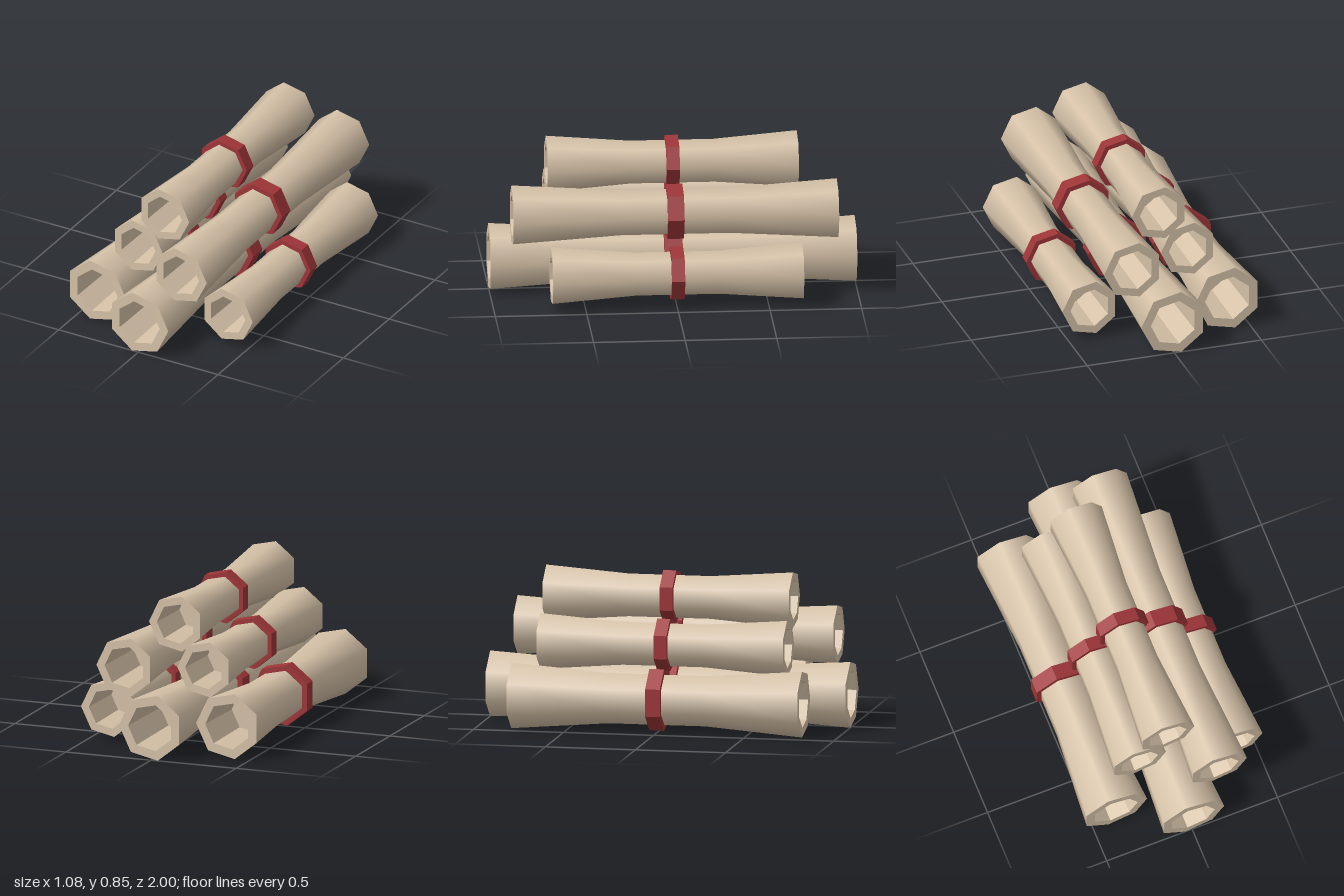
import * as THREE from 'three';

const SIDES = 7;

// Seven-sided tube along z with a corner pointing to +x
function tube(rFront, rBack, length, segments = 1, open = true) {
  return new THREE.CylinderGeometry(rFront, rBack, length, SIDES, segments, open, Math.PI / 2)
    .rotateX(Math.PI / 2);
}

function flat(geometry) {
  const g = geometry.toNonIndexed();
  g.computeVertexNormals();
  return g;
}

export function createModel() {
  const paper = new THREE.MeshStandardMaterial({ color: 0xd6c2a8, side: THREE.DoubleSide });
  paper.name = 'parchment';
  const ribbon = new THREE.MeshStandardMaterial({ color: 0x9e3538 });
  ribbon.name = 'red ribbon';

  const model = new THREE.Group();
  model.name = 'scrollPile';

  function add(parent, name, geometry, material) {
    const mesh = new THREE.Mesh(geometry, material);
    mesh.name = name;
    parent.add(mesh);
    return mesh;
  }

  function makeScroll(name, x, y, radius, half, bandHalf) {
    const scroll = new THREE.Group();
    scroll.name = name;
    scroll.position.set(x, y, 0);

    // Rolled sheet, straight in the middle third and flaring to the ends
    const sheet = tube(radius, radius, half * 2, 3);
    const p = sheet.attributes.position;
    for (let i = 0; i < p.count; i++) {
      if (Math.abs(p.getZ(i)) < half * 0.5) {
        p.setXY(i, p.getX(i) * 0.765, p.getY(i) * 0.765);
      }
    }
    add(scroll, 'rolledSheet', sheet, paper);

    // Rim, hollow and hollow floor at both ends
    const depth = half * 0.45;
    for (const side of [1, -1]) {
      const end = new THREE.Group();
      end.name = side > 0 ? 'frontEnd' : 'backEnd';
      if (side < 0) end.rotation.x = Math.PI;
      add(end, 'rim', new THREE.RingGeometry(radius * 0.71, radius, SIDES, 1), paper).position.z = half;
      add(end, 'hollow', flat(tube(radius * 0.71, radius * 0.66, depth)), paper).position.z = half - depth / 2;
      add(end, 'hollowFloor', new THREE.CircleGeometry(radius * 0.66, SIDES), paper).position.z = half - depth;
      scroll.add(end);
    }

    // Ribbon tied around the middle
    add(scroll, 'ribbonBand', flat(tube(radius * 0.935, radius * 0.935, bandHalf * 2, 1, false)), ribbon);
    model.add(scroll);
  }

  // Pile: name, x, y, radius, half length, half ribbon width
  [
    ['topScroll', -0.02, 0.697, 0.158, 0.685, 0.036],
    ['middleRightScroll', -0.186, 0.456, 0.158, 0.685, 0.036],
    ['middleLeftScroll', 0.199, 0.479, 0.166, 0.888, 0.045],
    ['bottomRightScroll', -0.373, 0.183, 0.186, 0.807, 0.041],
    ['bottomCentreScroll', 0.002, 0.183, 0.186, 1.0, 0.05],
    ['bottomLeftScroll', 0.378, 0.184, 0.159, 0.685, 0.036],
  ].forEach((s) => makeScroll(...s));

  return model;
}
